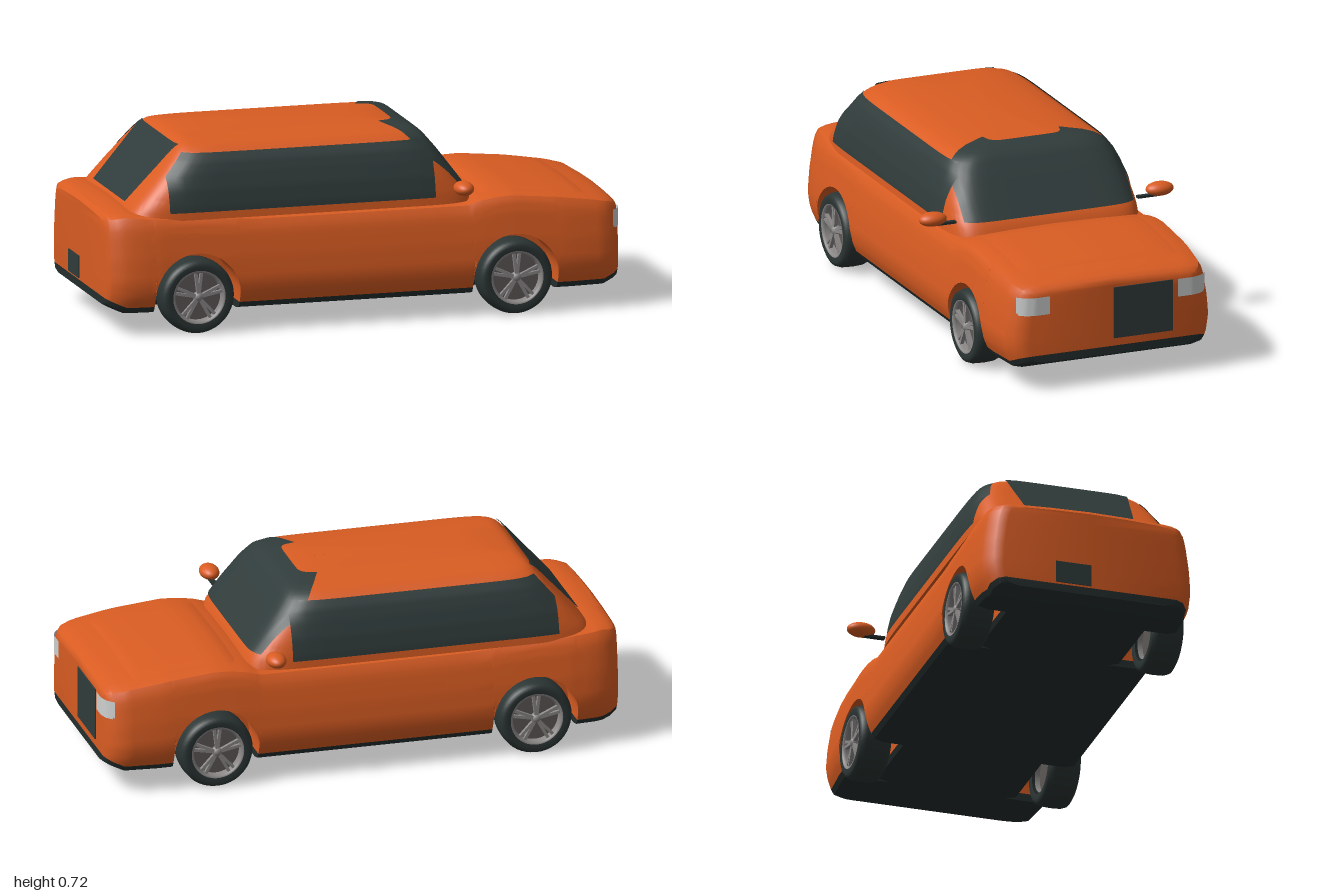
import * as THREE from 'three';
import { toCreasedNormals } from 'three/addons/utils/BufferGeometryUtils.js';

const mat = (name, color) => Object.assign(new THREE.MeshStandardMaterial({ color, side: THREE.DoubleSide }), { name });
const ARCHES = [-0.66, 0.58], ARCH_R = 0.165, AXLE_Y = 0.143;

// Piecewise linear lookup in [[key, value], ...]
function lookup(table, t) {
  if (t <= table[0][0]) return table[0][1];
  for (let i = 1; i < table.length; i++) {
    const [a, va] = table[i - 1], [b, vb] = table[i];
    if (t <= b) return va + (vb - va) * (t - a) / (b - a);
  }
  return table[table.length - 1][1];
}

// Skin a row of equally long cross-sections
function loft(rings, crease = 0.6) {
  const n = rings[0].length, index = [];
  for (let i = 0; i < rings.length - 1; i++)
    for (let j = 0; j < n - 1; j++) {
      const a = i * n + j, b = a + n;
      index.push(a, a + 1, b, b, a + 1, b + 1);
    }
  const g = new THREE.BufferGeometry();
  g.setAttribute('position', new THREE.Float32BufferAttribute(rings.flat(2), 3));
  g.setIndex(index);
  return toCreasedNormals(g, crease);
}

// Rectangular patch from a rule f(u, v), both 0..1
function patch(nu, nv, f) {
  const rows = [];
  for (let i = 0; i <= nu; i++) {
    rows.push([]);
    for (let j = 0; j <= nv; j++) rows[i].push(f(i / nu, j / nv));
  }
  return loft(rows);
}

// Lower body tables along x
const TOP = [[-1, 0.445], [-0.985, 0.46], [-0.93, 0.47], [-0.85, 0.463], [-0.7, 0.455], [-0.4, 0.44], [0.4, 0.44],
  [0.45, 0.455], [0.52, 0.466], [0.58, 0.468], [0.75, 0.452], [0.9, 0.43], [0.97, 0.415], [0.99, 0.403], [1, 0.388]];
const HALF = [[-1, 0.345], [-0.99, 0.375], [-0.96, 0.402], [-0.9, 0.42], [-0.8, 0.428], [0.8, 0.428],
  [0.93, 0.415], [0.97, 0.395], [0.99, 0.37], [1, 0.34]];
const FLANK = [[0, 0.9], [0.1, 0.955], [0.2, 0.985], [0.33, 1], [0.55, 0.985], [0.8, 0.95], [0.9, 0.925], [0.96, 0.89], [1, 0.84]];
const CROWN = [[0, 0], [0.4, -0.003], [0.75, -0.009], [0.84, -0.013]];
const bottom = x => 0.08 + 0.03 * Math.max(0, (Math.abs(x) - 0.93) / 0.07);
const sill = x => bottom(x) + 0.03;
const flank = (x, y) => lookup(HALF, x) * lookup(FLANK, (y - 0.08) / (lookup(TOP, x) - 0.08));
const mirror = h => h.map(([x, y, z]) => [x, y, -z]).reverse();

function bodyStations() {
  const s = [...TOP, ...HALF].map(([x]) => ({ x }));
  for (let x = -0.9; x < 0.95; x += 0.1) s.push({ x });
  let list = s.filter(({ x }) => ARCHES.every(c => Math.abs(x - c) > ARCH_R));
  for (const c of ARCHES) {
    list.push({ x: c - ARCH_R, k: 0 }, { x: c + ARCH_R, k: 99 });
    for (let i = 0; i <= 20; i++) list.push({ x: c - ARCH_R * Math.cos(Math.PI * i / 20), arch: c, k: i + 1 });
  }
  list.sort((a, b) => Math.abs(a.x - b.x) < 1e-6 ? (a.k ?? 0) - (b.k ?? 0) : a.x - b.x);
  return list.filter((p, i) => !i || p.k !== undefined || p.x - list[i - 1].x > 1e-6);
}

// Painted shell: crown, flank, wheel-well roof and inner wall
function shellSection({ x, arch }) {
  const top = lookup(TOP, x), hw = lookup(HALF, x), inArch = arch !== undefined;
  const y0 = inArch ? AXLE_Y + Math.sqrt(Math.max(0, ARCH_R ** 2 - (x - arch) ** 2)) : sill(x);
  const h = CROWN.map(([k, dy]) => [x, top + dy, hw * k]);
  for (let i = 0; i <= 14; i++) {
    const y = top - 0.02 + (y0 - top + 0.02) * i / 14;
    h.push([x, y, flank(x, y)]);
  }
  const z = inArch ? 0.28 : flank(x, y0);
  h.push([x, y0, z], [x, sill(x), z]);
  return [...mirror(h), ...h.slice(1)];
}

// Dark underside
function floorSection({ x, arch }) {
  const z = arch !== undefined ? 0.28 : flank(x, sill(x)), b = bottom(x);
  const h = [[x, sill(x), z], [x, b + 0.01, z * 0.97], [x, b, z - 0.05], [x, b, 0]];
  return [...h, ...mirror(h).slice(1)];
}

function capped(rings) {
  const flat = r => r.map(([x, y]) => [x, y, 0]);
  return [flat(rings[0]), ...rings, flat(rings[rings.length - 1])];
}

// Cabin tables by height: front x, rear x, half width
const FRONT = [[0.43, 0.44], [0.46, 0.43], [0.5, 0.4], [0.62, 0.31], [0.675, 0.265], [0.695, 0.24], [0.71, 0.195], [0.716, 0.08]];
const REAR = [[0.43, -0.91], [0.46, -0.895], [0.51, -0.85], [0.61, -0.76], [0.68, -0.7], [0.7, -0.675], [0.71, -0.64], [0.716, -0.5]];
const WIDTH = [[0.43, 0.39], [0.48, 0.386], [0.54, 0.376], [0.6, 0.358], [0.64, 0.342], [0.67, 0.32], [0.69, 0.29], [0.705, 0.23], [0.716, 0.1]];
const N = 9;
const cabinAt = y => {
  const f = lookup(FRONT, y), r = lookup(REAR, y);
  return { c: (f + r) / 2, a: (f - r) / 2, b: lookup(WIDTH, y), f, r };
};
const bulge = t => Math.pow(Math.max(0, 1 - Math.abs(t) ** N), 1 / N);

function cabinGeometry() {
  const ys = [...new Set([...FRONT, ...REAR, ...WIDTH].map(p => p[0]))].sort((p, q) => p - q);
  const power = t => Math.sign(t) * Math.abs(t) ** (2 / N);
  const rings = ys.map(y => {
    const { c, a, b } = cabinAt(y), ring = [];
    for (let i = 0; i <= 96; i++) {
      const t = i / 96 * Math.PI * 2;
      ring.push([c + a * power(Math.cos(t)), y, -b * power(Math.sin(t))]);
    }
    return ring;
  });
  rings.push(rings[rings.length - 1].map(() => [-0.21, 0.717, 0]));
  return loft(rings, 0.9);
}

export function createModel() {
  const car = new THREE.Group();
  car.name = 'car';
  const paint = mat('orange paint', 0xd95c22), glass = mat('dark glass', 0x303c3b), trim = mat('black trim', 0x252e2e);
  const rubber = mat('tyre rubber', 0x2b3534), alloy = mat('alloy', 0x8c8888), brake = mat('brake grey', 0x5c5856);
  const lamp = mat('lamp', 0xcfd0d0);
  const add = (name, geo, material, parent = car, pos = [0, 0, 0]) => {
    const m = new THREE.Mesh(geo, material);
    m.name = name;
    m.position.set(...pos);
    parent.add(m);
    return m;
  };

  // Body, floor and cabin
  const stations = bodyStations();
  add('body', loft(capped(stations.map(shellSection))), paint);
  add('floor', loft(capped(stations.map(floorSection))), trim);
  add('cabin', cabinGeometry(), paint);
  add('hood', patch(14, 12, (u, v) => {
    const x = 0.46 + 0.43 * u, k = 2 * v - 1, edge = Math.min(u, 1 - u, v, 1 - v) === 0;
    return [x, lookup(TOP, x) + lookup(CROWN, Math.abs(k) * 0.81) + (edge ? -0.004 : 0.005), k * 0.347];
  }), paint);

  // Windows lying just outside the cabin surface
  add('windshield', patch(24, 32, (u, v) => {
    const y = 0.48 + 0.231 * u, { c, a, b } = cabinAt(y), z = (2 * v - 1) * Math.min(0.345, b * 0.975);
    return [c + a * bulge(z / b) + 0.005, y + 0.004, z];
  }), glass);
  add('rearWindow', patch(20, 12, (u, v) => {
    const y = 0.475 + 0.213 * u, { c, a, b } = cabinAt(y), z = (2 * v - 1) * (0.21 + 0.03 * u);
    return [c - a * bulge(z / b) - 0.005, y + 0.004, z];
  }), glass);
  for (const s of [1, -1])
    add(s > 0 ? 'sideWindowNear' : 'sideWindowFar', patch(20, 32, (u, v) => {
      const y = 0.458 + 0.212 * u, { c, a, b, f, r } = cabinAt(y);
      const x0 = Math.max(-0.76, r + 0.02), x1 = Math.min(0.275, f - 0.02), x = x0 + (x1 - x0) * v;
      return [x, y + 0.001, s * (b * bulge((x - c) / a) + 0.005)];
    }), glass);

  // Lamps wrapping the nose corners, grille and rear plate
  const NOSE = [[0.26, 1], [0.32, 1], [0.353, 0.99], [0.376, 0.97], [0.382, 0.962]];
  for (const s of [1, -1])
    add('headlight', patch(1, 12, (u, v) => {
      const z = 0.26 + 0.121 * v;
      return [lookup(NOSE, z) + 0.004, 0.3 + 0.07 * u, s * (z + 0.003 * v)];
    }), lamp);
  add('grille', new THREE.BoxGeometry(0.008, 0.2, 0.24), glass, car, [1, 0.27, -0.12]);
  add('rearPlate', new THREE.BoxGeometry(0.008, 0.085, 0.14), glass, car, [-1, 0.19, -0.07]);

  // Door mirrors
  for (const s of [1, -1]) {
    add('mirror', new THREE.SphereGeometry(1, 28, 18), paint, car, [0.362, 0.505, s * 0.462]).scale.set(0.037, 0.027, 0.055);
    add('mirrorArm', new THREE.BoxGeometry(0.02, 0.009, 0.08), trim, car, [0.362, 0.483, s * 0.41]);
  }

  // Wheels: tyre, rim, brake disc, five spokes and hub
  const lathe = pts => new THREE.LatheGeometry(pts.map(p => new THREE.Vector2(...p)), 48).rotateX(Math.PI / 2);
  const tyre = lathe([[0.098, -0.058], [0.12, -0.063], [0.134, -0.056], [0.141, -0.038], [0.143, 0], [0.141, 0.038],
    [0.134, 0.056], [0.12, 0.063], [0.098, 0.058]]);
  const rim = lathe([[0.09, -0.05], [0.09, 0.05], [0.095, 0.06], [0.102, 0.061]]);
  const disc = new THREE.CylinderGeometry(0.092, 0.092, 0.06, 40).rotateX(Math.PI / 2);
  const spoke = new THREE.BoxGeometry(0.011, 0.09, 0.014).translate(0, 0.05, 0);
  const hub = new THREE.SphereGeometry(0.02, 20, 12);
  for (const x of ARCHES)
    for (const s of [1, -1]) {
      const wheel = new THREE.Group();
      wheel.name = 'wheel';
      wheel.position.set(x, AXLE_Y, s * 0.372);
      if (s < 0) wheel.rotation.y = Math.PI;
      add('tyre', tyre, rubber, wheel);
      add('rim', rim, alloy, wheel);
      add('brakeDisc', disc, brake, wheel);
      add('hub', hub, alloy, wheel, [0, 0, 0.042]);
      for (let i = 0; i < 5; i++)
        for (const side of [-1, 1])
          add('spoke', spoke, alloy, wheel, [0, 0, 0.048]).rotation.z = i * Math.PI * 0.4 + side * 0.12;
      car.add(wheel);
    }
  return car;
}
